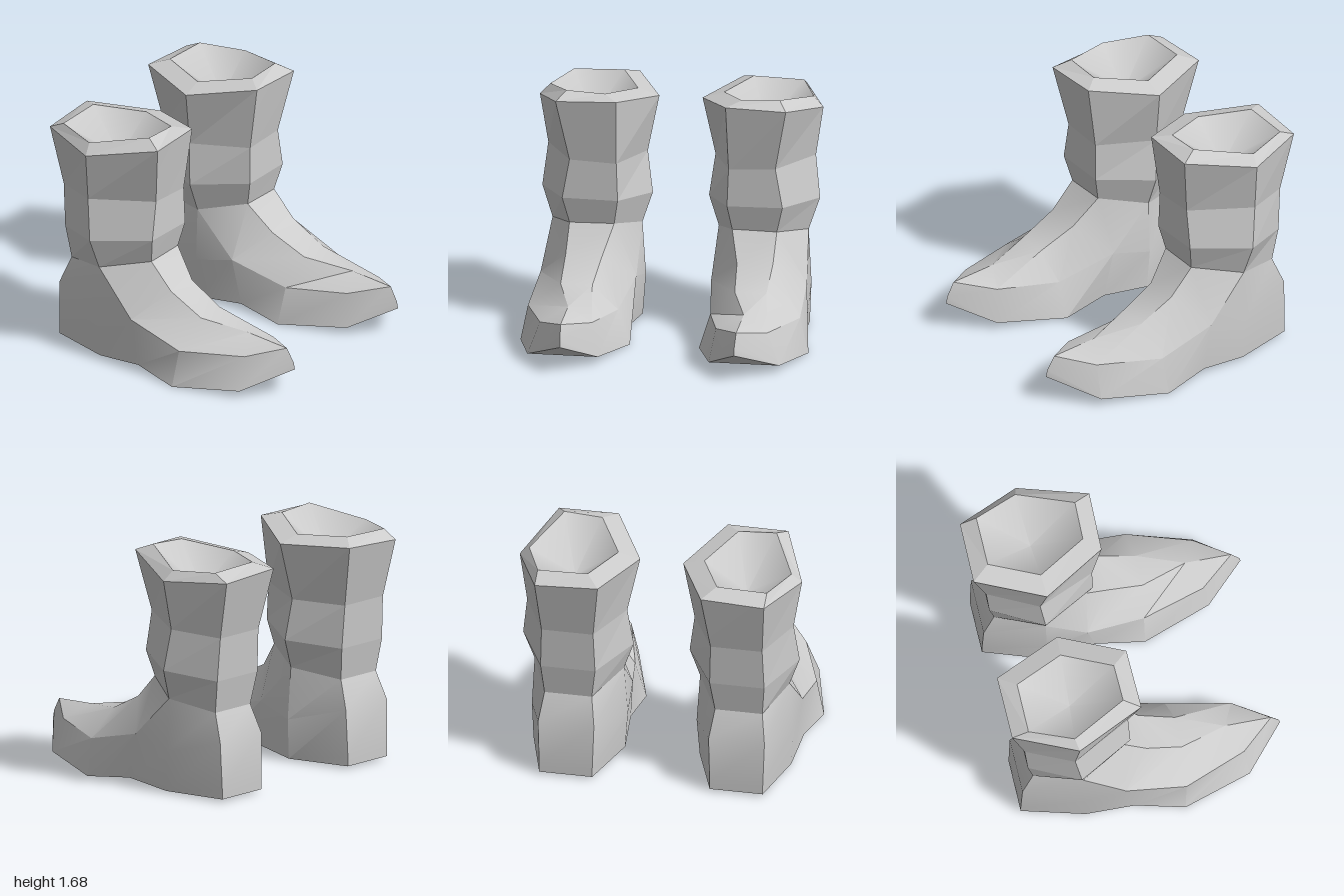
import * as THREE from 'three';
import { toCreasedNormals } from 'three/addons/utils/BufferGeometryUtils.js';

const grey = new THREE.MeshStandardMaterial({ color: 0xcccccc });
grey.name = 'grey';

// Fan each polygon into triangles; side = -1 mirrors it across x
function polygonMesh(name, polygons, crease, side) {
  const positions = [];
  for (const polygon of polygons) {
    const p = side < 0 ? [...polygon].reverse() : polygon;
    for (let i = 1; i < p.length - 1; i++) {
      for (const v of [p[0], p[i], p[i + 1]]) positions.push(v[0] * side, v[1], v[2]);
    }
  }
  const geometry = new THREE.BufferGeometry();
  geometry.setAttribute('position', new THREE.Float32BufferAttribute(positions, 3));
  const mesh = new THREE.Mesh(toCreasedNormals(geometry, crease), grey);
  mesh.name = name;
  return mesh;
}

// Six-sided rings: front outer, front inner, inner side, back inner, back outer, outer side
const innerRim = [[0.74, 1.685, -0.17], [0.475, 1.67, -0.175], [0.3, 1.62, -0.51],
  [0.45, 1.64, -0.85], [0.8, 1.63, -0.85], [0.915, 1.61, -0.55]];
const outerRim = [[0.8, 1.635, -0.055], [0.38, 1.645, -0.065], [0.15, 1.575, -0.5],
  [0.36, 1.6, -0.97], [0.8, 1.575, -0.965], [0.985, 1.54, -0.53]];
const calf = [[0.715, 1.2, -0.13], [0.39, 1.185, -0.13], [0.235, 1.17, -0.53],
  [0.41, 1.16, -0.87], [0.77, 1.16, -0.87], [0.93, 1.19, -0.55]];
const shin = [[0.765, 0.925, -0.125], [0.38, 0.92, -0.125], [0.195, 0.88, -0.5],
  [0.4, 0.85, -0.85], [0.78, 0.85, -0.85], [0.965, 0.895, -0.51]];
const ankle = [[0.72, 0.74, -0.165], [0.41, 0.745, -0.165], [0.265, 0.67, -0.485],
  [0.43, 0.615, -0.81], [0.76, 0.615, -0.81], [0.89, 0.675, -0.485]];

// Foot points shared by both flanks
const toeTop = [0.61, 0.335, 0.9];
const toeLip = [0.605, 0.24, 0.955];
const toeTip = [0.605, 0.19, 0.965];
const instepEnd = [0.61, 0.365, 0.575];

// Sole and side edge run from heel to toe; ridge runs down the instep
const outer = {
  sole: [[0.78, 0.02, -0.9], [0.9, 0.015, -0.47], [0.925, 0.045, -0.13], [1, 0, 0.21], [0.875, 0.05, 0.69]],
  edge: [[0.79, 0.42, -0.89], [0.91, 0.3, -0.48], [0.925, 0.37, -0.19], [0.945, 0.255, 0.23], [0.79, 0.275, 0.67]],
  heel: [0.78, 0.085, -0.9],
  ridge: [ankle[0], [0.72, 0.56, 0], [0.715, 0.425, 0.25]],
  ankleSide: ankle[5], ankleBack: ankle[4],
};
const inner = {
  sole: [[0.41, 0.02, -0.9], [0.26, 0.015, -0.47], [0.285, 0.045, -0.13], [0.24, 0, 0.21], [0.385, 0.05, 0.69]],
  edge: [[0.4, 0.42, -0.89], [0.24, 0.3, -0.48], [0.26, 0.37, -0.19], [0.32, 0.25, 0.22], [0.43, 0.285, 0.66]],
  heel: [0.41, 0.085, -0.9],
  ridge: [ankle[1], [0.47, 0.55, 0], [0.495, 0.425, 0.25]],
  ankleSide: ankle[2], ankleBack: ankle[3],
};

function ringFaces(rows) {
  const faces = [];
  for (let r = 0; r < rows.length - 1; r++) {
    for (let i = 0; i < 6; i++) {
      const j = (i + 1) % 6;
      faces.push([rows[r][i], rows[r][j], rows[r + 1][j], rows[r + 1][i]]);
    }
  }
  return faces;
}

// One side of the foot, from heel to toe
function flankFaces({ sole, edge, heel, ridge, ankleSide, ankleBack }) {
  const faces = [
    [edge[0], edge[1], sole[1], heel],
    [heel, sole[1], sole[0]],
    [ankleBack, ankleSide, edge[1], edge[0]],
    [ankleSide, edge[2], edge[1]],
    [ankleSide, ridge[0], edge[2]],
    [ridge[0], ridge[1], edge[2]],
    [ridge[1], ridge[2], edge[3], edge[2]],
    [ridge[2], instepEnd, edge[4], edge[3]],
    [instepEnd, toeTop, edge[4]],
    [edge[4], toeTop, toeLip, sole[4]],
    [toeLip, toeTip, sole[4]],
  ];
  for (let i = 1; i < 4; i++) faces.push([edge[i], edge[i + 1], sole[i + 1], sole[i]]);
  return faces;
}

function makeBoot(name, side) {
  const boot = new THREE.Group();
  boot.name = name;

  // Shaft with its sloping rim and the hollow inside
  boot.add(polygonMesh('shaft', ringFaces([outerRim, calf, shin, ankle]), 0.05, side));
  boot.add(polygonMesh('rim', ringFaces([innerRim, outerRim]), 0.05, side));
  const bottom = [0.6, 1.4, -0.515];
  const hollow = innerRim.map((p, i) => [bottom, innerRim[(i + 1) % 6], p]);
  boot.add(polygonMesh('hollow', hollow, 1.2, side));

  // Foot: both flanks, the instep strip and the back of the heel
  const foot = [...flankFaces(outer), ...flankFaces(inner).map((f) => f.reverse())];
  for (let i = 0; i < 2; i++) {
    foot.push([outer.ridge[i], inner.ridge[i], inner.ridge[i + 1], outer.ridge[i + 1]]);
  }
  foot.push([outer.ridge[2], inner.ridge[2], instepEnd]);
  const back = (b) => [b.ankleBack, b.edge[0], b.heel, b.sole[0]];
  const [o, n] = [back(outer), back(inner)];
  for (let i = 0; i < 3; i++) foot.push([n[i], o[i], o[i + 1], n[i + 1]]);
  boot.add(polygonMesh('foot', foot, 0.45, side));

  // Sole, rising to the toe
  const sole = [[toeTip, inner.sole[4], outer.sole[4]]];
  for (let i = 0; i < 4; i++) {
    sole.push([outer.sole[i + 1], inner.sole[i + 1], inner.sole[i], outer.sole[i]]);
  }
  boot.add(polygonMesh('sole', sole, 0.3, side));
  return boot;
}

export function createModel() {
  const model = new THREE.Group();
  model.name = 'boots';
  model.add(makeBoot('leftBoot', 1), makeBoot('rightBoot', -1));
  return model;
}
